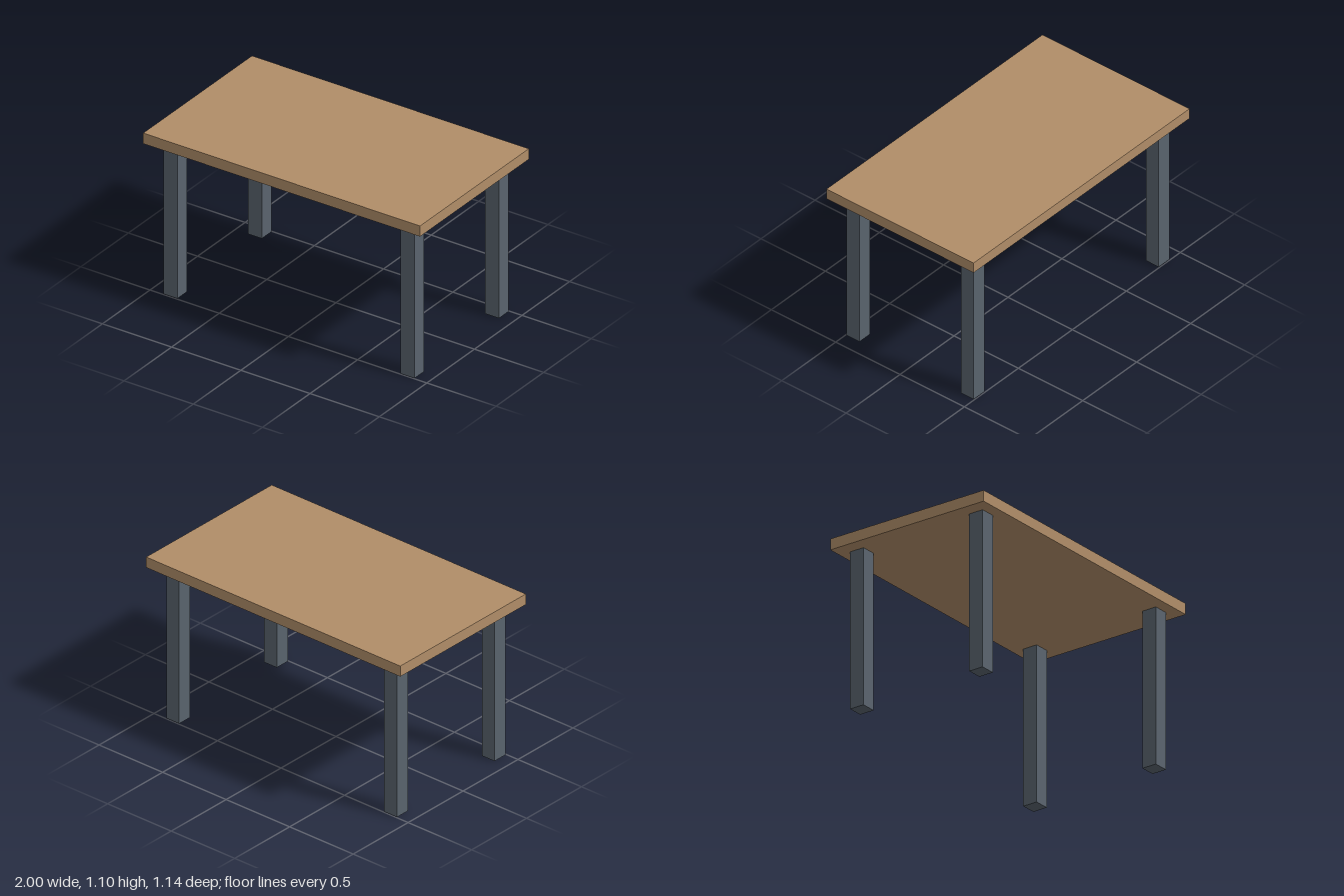
import * as THREE from 'three';

export function createModel() {
  const table = new THREE.Group();
  table.name = 'table';

  const wood = new THREE.MeshStandardMaterial({ color: 0xb08d68 });
  const metal = new THREE.MeshStandardMaterial({ color: 0x59636d });

  const legHeight = 1.032, legWidth = 0.1, topThickness = 0.072;

  // Table top
  const top = new THREE.Mesh(new THREE.BoxGeometry(2, topThickness, 1.143), wood);
  top.name = 'tableTop';
  top.position.y = legHeight + topThickness / 2;
  table.add(top);

  // Four square legs, set in from the corners
  const legGeometry = new THREE.BoxGeometry(legWidth, legHeight, legWidth);
  for (const [side, x] of [['Left', 0.857], ['Right', -0.857]]) {
    for (const [end, z] of [['front', 0.444], ['back', -0.444]]) {
      const leg = new THREE.Mesh(legGeometry, metal);
      leg.name = `${end}${side}Leg`;
      leg.position.set(x, legHeight / 2, z);
      table.add(leg);
    }
  }

  return table;
}
